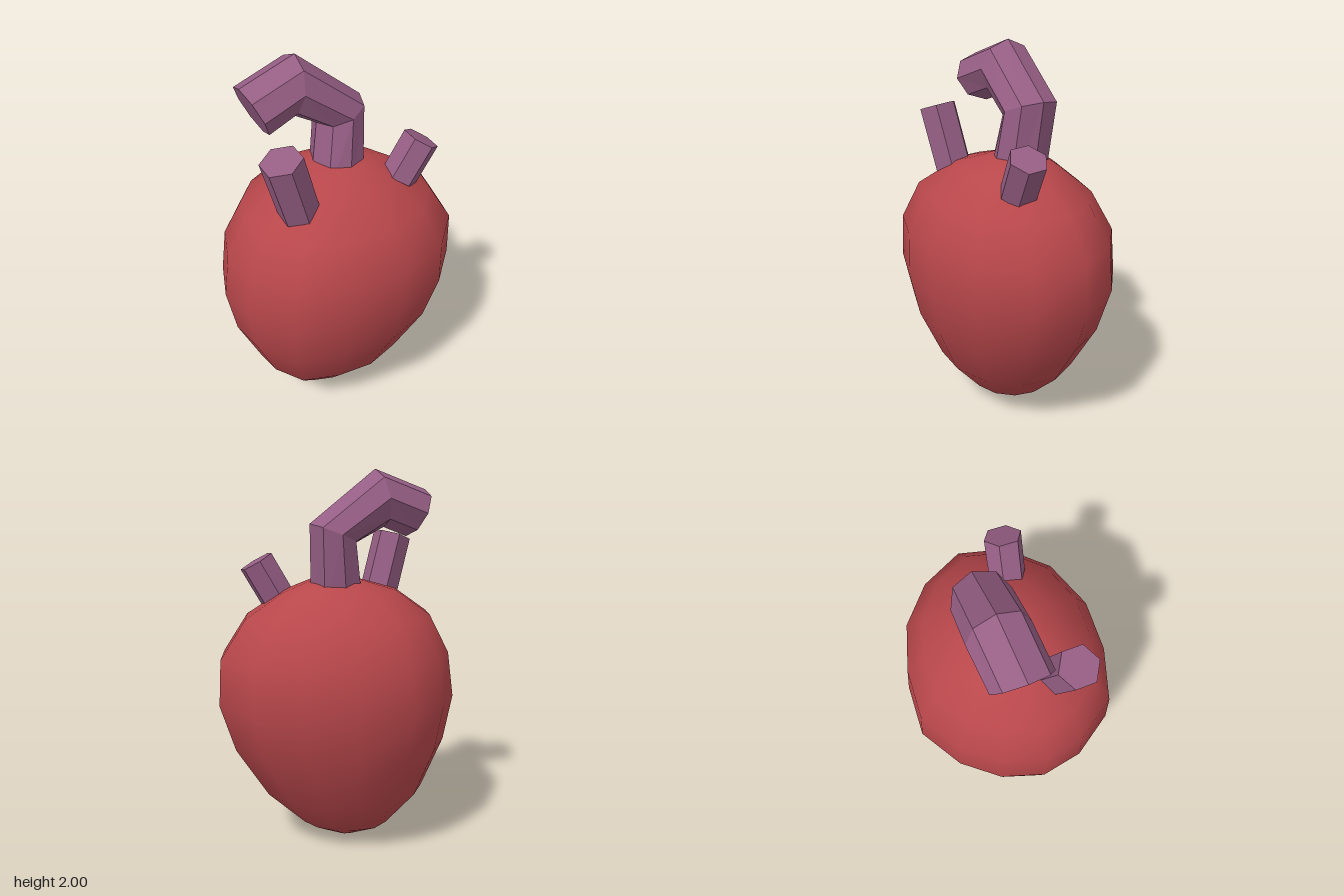
import * as THREE from 'three';

// Skin a stack of rings (bottom to top) and close both ends with fans.
function loft(rings, flat) {
  const n = rings[0].length, pos = [], idx = [];
  rings.forEach(r => r.forEach(p => pos.push(p.x, p.y, p.z)));
  for (let k = 0; k < rings.length - 1; k++) {
    for (let i = 0; i < n; i++) {
      const j = (i + 1) % n, a = k * n, b = a + n;
      idx.push(a + j, a + i, b + i, a + j, b + i, b + j);
    }
  }
  const cap = (k, top) => {
    const c = new THREE.Vector3();
    rings[k].forEach(p => c.addScaledVector(p, 1 / n));
    const ci = pos.length / 3;
    pos.push(c.x, c.y, c.z);
    for (let i = 0; i < n; i++) {
      const a = k * n + i, b = k * n + (i + 1) % n;
      idx.push(ci, top ? b : a, top ? a : b);
    }
  };
  cap(0, false);
  cap(rings.length - 1, true);
  let g = new THREE.BufferGeometry();
  g.setAttribute('position', new THREE.Float32BufferAttribute(pos, 3));
  g.setIndex(idx);
  if (flat) g = g.toNonIndexed();
  g.computeVertexNormals();
  return g;
}

export function createModel() {
  const group = new THREE.Group();
  const red = new THREE.MeshStandardMaterial({ color: 0xb8474b });
  red.name = 'heart red';
  const purple = new THREE.MeshStandardMaterial({ color: 0x965e84 });
  purple.name = 'vessel purple';
  const add = (name, geometry, material) => {
    const m = new THREE.Mesh(geometry, material);
    m.name = name;
    group.add(m);
    return m;
  };

  // Heart body: one irregular outline scaled up the height
  const outline = [
    [-0.655, -0.01], [-0.58, -0.23], [-0.43, -0.41], [-0.2, -0.545], [0.08, -0.525],
    [0.34, -0.44], [0.54, -0.26], [0.655, -0.015], [0.58, 0.25], [0.38, 0.45],
    [0.09, 0.545], [-0.2, 0.525], [-0.48, 0.43], [-0.62, 0.21],
  ];
  // y, min x, max x, min z, max z
  const levels = [
    [0, -0.10, 0, -0.04, 0.04],
    [0.10, -0.31, 0.20, -0.22, 0.21],
    [0.29, -0.49, 0.40, -0.37, 0.37],
    [0.56, -0.61, 0.57, -0.48, 0.49],
    [0.81, -0.655, 0.65, -0.54, 0.545],
    [1.05, -0.625, 0.635, -0.515, 0.54],
    [1.25, -0.52, 0.50, -0.41, 0.445],
    [1.38, -0.33, 0.30, -0.25, 0.27],
    [1.44, -0.12, 0.15, -0.15, 0.14],
  ];
  const heartRings = levels.map(([y, x0, x1, z0, z1]) => outline.map(([x, z]) =>
    new THREE.Vector3(
      (x0 + x1) / 2 + (x / 0.655) * (x1 - x0) / 2, y,
      (z0 + z1) / 2 + (z / 0.545) * (z1 - z0) / 2)));
  add('heartBody', loft(heartRings, false), red);

  // Arched vessel: octagons mitred along a bent path
  // centre x, y, z, then outward half-width x, y
  const stations = [
    [0.01, 1.3, -0.02, 0.145, -0.01],
    [0.052, 1.68, -0.07, 0.123, 0.05],
    [-0.195, 1.855, -0.085, 0.025, 0.145],
    [-0.412, 1.78, -0.063, -0.053, 0.12],
  ];
  const archRings = stations.map(([x, y, z, ux, uy]) =>
    Array.from({ length: 8 }, (_, i) => {
      const a = i * Math.PI / 4, c = Math.cos(a);
      return new THREE.Vector3(x + ux * c, y + uy * c, z + 0.15 * Math.sin(a));
    }));
  add('archedVessel', loft(archRings, true), purple);

  // Short hexagonal vessels
  const stub = (name, from, to, r) => {
    const a = new THREE.Vector3(...from), b = new THREE.Vector3(...to);
    const dir = b.clone().sub(a);
    const g = new THREE.CylinderGeometry(r, r, dir.length(), 6).toNonIndexed();
    g.computeVertexNormals();
    const m = add(name, g, purple);
    m.position.copy(a).add(b).multiplyScalar(0.5);
    m.quaternion.setFromUnitVectors(new THREE.Vector3(0, 1, 0), dir.normalize());
  };
  stub('rightVessel', [-0.305, 1.33, 0.18], [-0.402, 1.652, 0.215], 0.104);
  stub('leftVessel', [0.285, 1.33, 0.152], [0.397, 1.53, 0.17], 0.097);

  return group;
}
